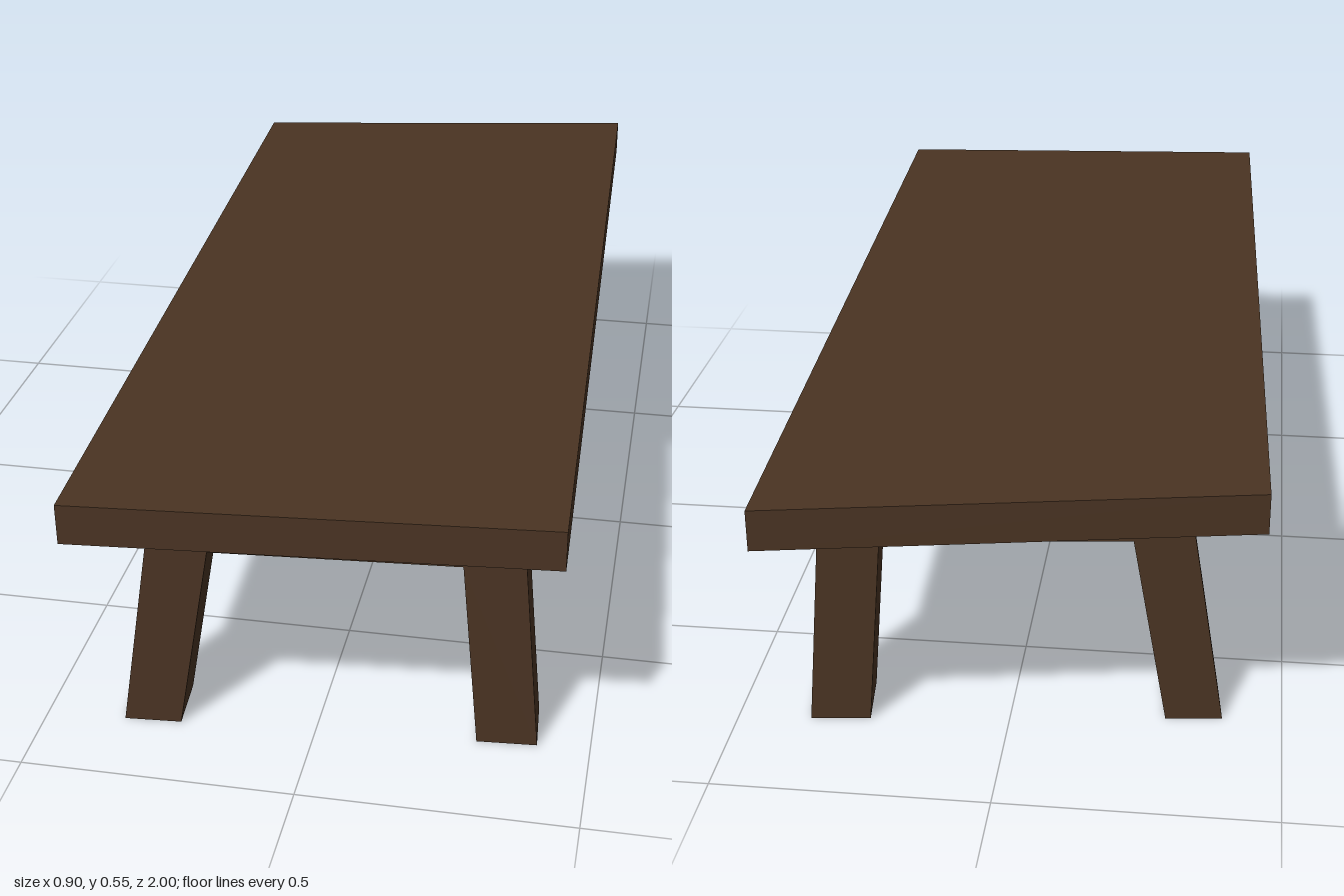
import * as THREE from 'three';

// Slightly skewed table top outline [x, z], counter-clockwise seen from above
const OUTLINE = [[-0.39, 1.0], [0.45, 0.935], [0.395, -1.0], [-0.455, -0.85]];
const TOP_Y = 0.55;
const UNDER_Y = 0.475;

// Open-bottomed shell: top face plus four edge faces
function createTabletopGeometry() {
  const positions = [];
  const quad = (a, b, c, d) => positions.push(...a, ...b, ...c, ...a, ...c, ...d);
  const upper = OUTLINE.map(([x, z]) => [x, TOP_Y, z]);
  const lower = OUTLINE.map(([x, z]) => [x, UNDER_Y, z]);
  quad(...upper);
  for (let i = 0; i < 4; i++) {
    const j = (i + 1) % 4;
    quad(lower[i], lower[j], upper[j], upper[i]);
  }
  const geometry = new THREE.BufferGeometry();
  geometry.setAttribute('position', new THREE.Float32BufferAttribute(positions, 3));
  geometry.computeVertexNormals();
  return geometry;
}

// Two splayed legs joined by a crossbar, with the front face at local z = 0
function createLegFrameGeometry(depth) {
  const shape = new THREE.Shape([
    [-0.38, 0], [-0.275, 0], [-0.21, 0.375], [0.24, 0.375],
    [0.27, 0], [0.38, 0], [0.342, UNDER_Y], [-0.305, UNDER_Y],
  ].map(([x, y]) => new THREE.Vector2(x, y)));
  const geometry = new THREE.ExtrudeGeometry(shape, { depth, bevelEnabled: false });
  return geometry.translate(0, 0, -depth);
}

export function createModel() {
  const group = new THREE.Group();
  group.name = 'table';
  const wood = new THREE.MeshStandardMaterial({ color: 0x4a3423, side: THREE.DoubleSide });
  wood.name = 'dark wood';

  const tabletop = new THREE.Mesh(createTabletopGeometry(), wood);
  tabletop.name = 'tabletop';
  group.add(tabletop);

  // Each leg frame is turned a little to follow its end of the top
  const frames = [
    { name: 'frontLegFrame', x: 0.025, z: 0.818, turn: 0.071, depth: 0.11 },
    { name: 'backLegFrame', x: 0, z: -0.625, turn: 0.105, depth: 0.12 },
  ];
  for (const { name, x, z, turn, depth } of frames) {
    const frame = new THREE.Mesh(createLegFrameGeometry(depth), wood);
    frame.name = name;
    frame.position.set(x, 0, z);
    frame.rotation.y = turn;
    group.add(frame);
  }
  return group;
}
